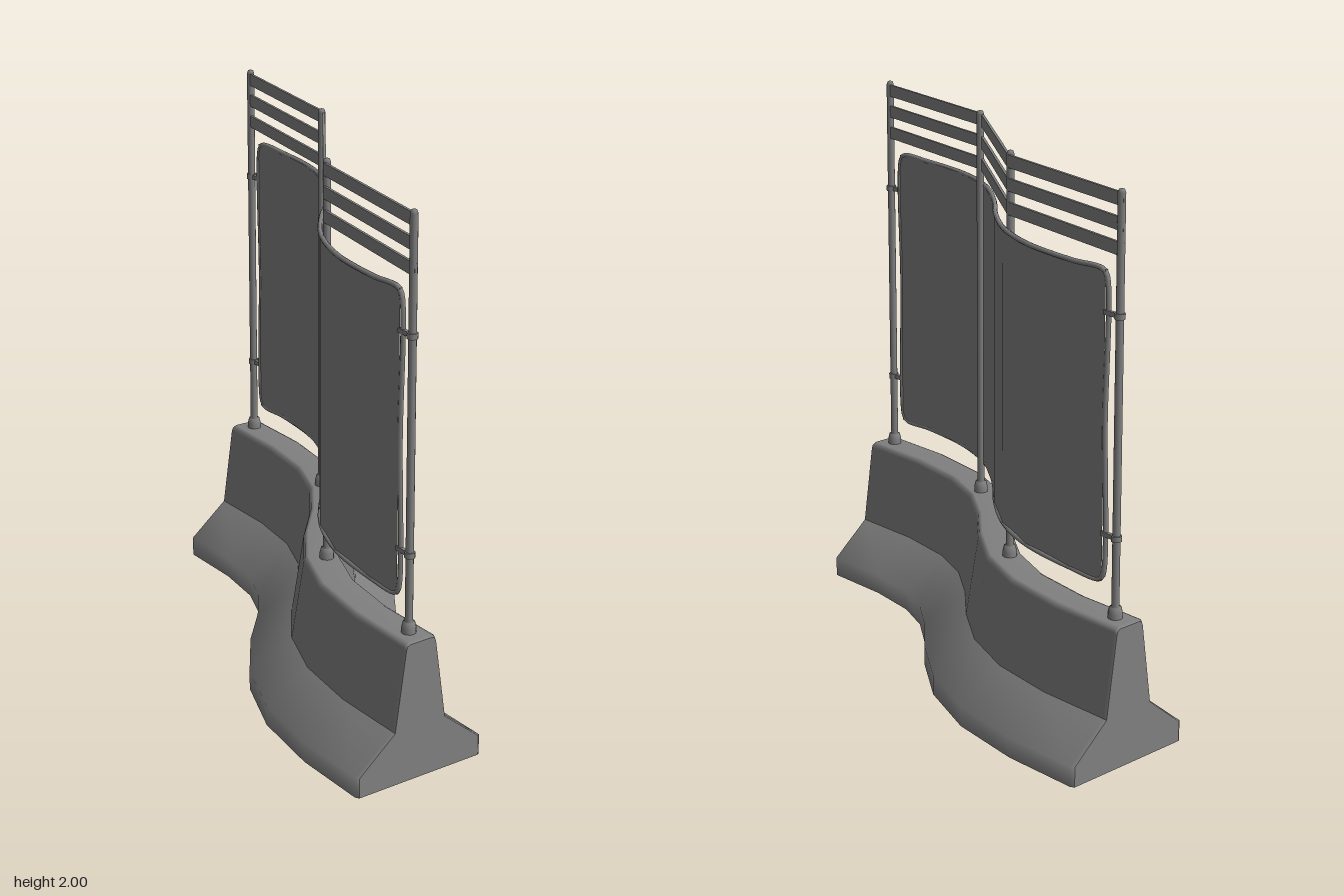
import * as THREE from 'three';
import { mergeGeometries } from 'three/addons/utils/BufferGeometryUtils.js';

const grey = new THREE.MeshStandardMaterial({ color: 0x808080 });
grey.name = 'concrete grey';

// Completes an S-shaped plan path [x, z] by turning its front half about the centre
const sPath = (half) => [...half, ...half.map(([x, z]) => [-x, -z]).reverse()];

// Sweeps a cross-section strip [sideways, up] along a plan path; scale(i) shrinks single rings
function sweep(path, strip, scale = () => 1) {
  const pos = [], index = [], m = strip.length, last = path.length - 1;
  path.forEach(([x, z], i) => {
    const a = path[Math.max(i - 1, 0)], b = path[Math.min(i + 1, last)];
    const dx = b[0] - a[0], dz = b[1] - a[1], len = Math.hypot(dx, dz), s = scale(i);
    for (const [u, y] of strip) pos.push(x - (dz / len) * u * s, y * (1 + s) / 2, z + (dx / len) * u * s);
  });
  for (let i = 0; i < last; i++) {
    for (let j = 0; j < m - 1; j++) {
      const a = i * m + j, b = a + m;
      index.push(a, b, a + 1, b, b + 1, a + 1);
    }
  }
  const g = new THREE.BufferGeometry();
  g.setAttribute('position', new THREE.Float32BufferAttribute(pos, 3));
  g.setIndex(index);
  g.computeVertexNormals();
  return g;
}

// Rectangular bar swept along a path, with separate faces so the edges stay sharp
function sweptBar(path, h, y0, y1) {
  const c = [[h, y0], [h, y1], [-h, y1], [-h, y0], [h, y0]];
  return mergeGeometries([0, 1, 2, 3].map((k) => sweep(path, [c[k], c[k + 1]])));
}

export function createModel() {
  const model = new THREE.Group();
  const add = (name, geometry, x = 0, y = 0, z = 0) => {
    const mesh = new THREE.Mesh(geometry, grey);
    mesh.name = name;
    mesh.position.set(x, y, z);
    model.add(mesh);
    return mesh;
  };

  const bend = [[-0.324, 0.71], [-0.283, 0.46], [-0.198, 0.255], [-0.072, 0.08]];

  // Concrete barrier: sloped foot, tapered wall with a rounded top, bevelled ends
  const basePath = sPath([[-0.33, 1], [-0.33, 0.99], ...bend]);
  const foot = [[0.265, 0], [0.265, 0.075], [0.11, 0.2]];
  const wall = [[0.11, 0.2], [0.065, 0.5], [0.06, 0.514], [0.048, 0.52]];
  const mirror = (s) => s.map(([u, y]) => [-u, y]).reverse();
  const shrink = 0.97;
  const endScale = (i) => (i === 0 || i === basePath.length - 1 ? shrink : 1);
  const strips = [foot, [...wall, ...mirror(wall)], mirror(foot), [[-0.265, 0], [0.265, 0]]];
  add('barrier', mergeGeometries(strips.map((s) => sweep(basePath, s, endScale))));

  // Flat end faces
  const outline = [...foot, ...wall.slice(1), ...mirror(wall), ...mirror(foot).slice(1)];
  const endShape = new THREE.Shape(
    outline.map(([u, y]) => new THREE.Vector2(u * shrink, y * (1 + shrink) / 2)));
  add('frontEnd', new THREE.ShapeGeometry(endShape), -0.33, 0, 1);
  add('backEnd', new THREE.ShapeGeometry(endShape), 0.33, 0, -1).rotation.y = Math.PI;

  // Curved screen panel
  const panelPath = sPath([[-0.329, 0.87], ...bend]);
  add('panel', sweptBar(panelPath, 0.006, 0.635, 1.718));

  // Rim around the panel with rounded corners
  const rimPoints = [];
  const [p0, p1] = [panelPath[0], panelPath[panelPath.length - 1]];
  const inner = panelPath.slice(1, -1);
  const end = ([x, z], y) => new THREE.Vector3(x, y, z);
  const inset = ([x, z]) => [x, z - Math.sign(z) * 0.018];
  rimPoints.push(end(p0, 1.7), end(p0, 1.2), end(p0, 0.653), end(inset(p0), 0.635));
  inner.forEach((p) => rimPoints.push(end(p, 0.635)));
  rimPoints.push(end(inset(p1), 0.635), end(p1, 0.653), end(p1, 1.2), end(p1, 1.7), end(inset(p1), 1.718));
  [...inner].reverse().forEach((p) => rimPoints.push(end(p, 1.718)));
  rimPoints.push(end(inset(p0), 1.718));
  const rimCurve = new THREE.CatmullRomCurve3(rimPoints, true, 'centripetal');
  rimCurve.arcLengthDivisions = 800;
  add('panelRim', new THREE.TubeGeometry(rimCurve, 320, 0.009, 8, true));

  // Posts with domed tops and tapered collars
  const postProfile = [[0.026, 0.515], [0.026, 0.54], [0.021, 0.56], [0.014, 0.562], [0.014, 1.985], [0.01, 1.996], [0, 2]]
    .map(([r, y]) => new THREE.Vector2(r, y));
  const posts = sPath([[-0.332, 0.933], [-0.194, 0.28]]);
  posts.forEach(([x, z]) => add('post', new THREE.LatheGeometry(postProfile, 12), x, 0, z));

  // Three straight-sided rails running from post to post
  const railPath = sPath([[-0.332, 0.947], [-0.205, 0.283]]);
  for (const y of [1.775, 1.858, 1.94]) add('rail', sweptBar(railPath, 0.005, y, y + 0.045));

  // Clamps joining the end posts to the panel
  for (const side of [1, -1]) {
    for (const y of [0.805, 1.575]) {
      add('clampArm', new THREE.BoxGeometry(0.014, 0.016, 0.085), -0.331 * side, y, 0.905 * side);
      add('clampRing', new THREE.CylinderGeometry(0.019, 0.019, 0.02, 12), -0.332 * side, y, 0.933 * side);
    }
  }
  return model;
}
